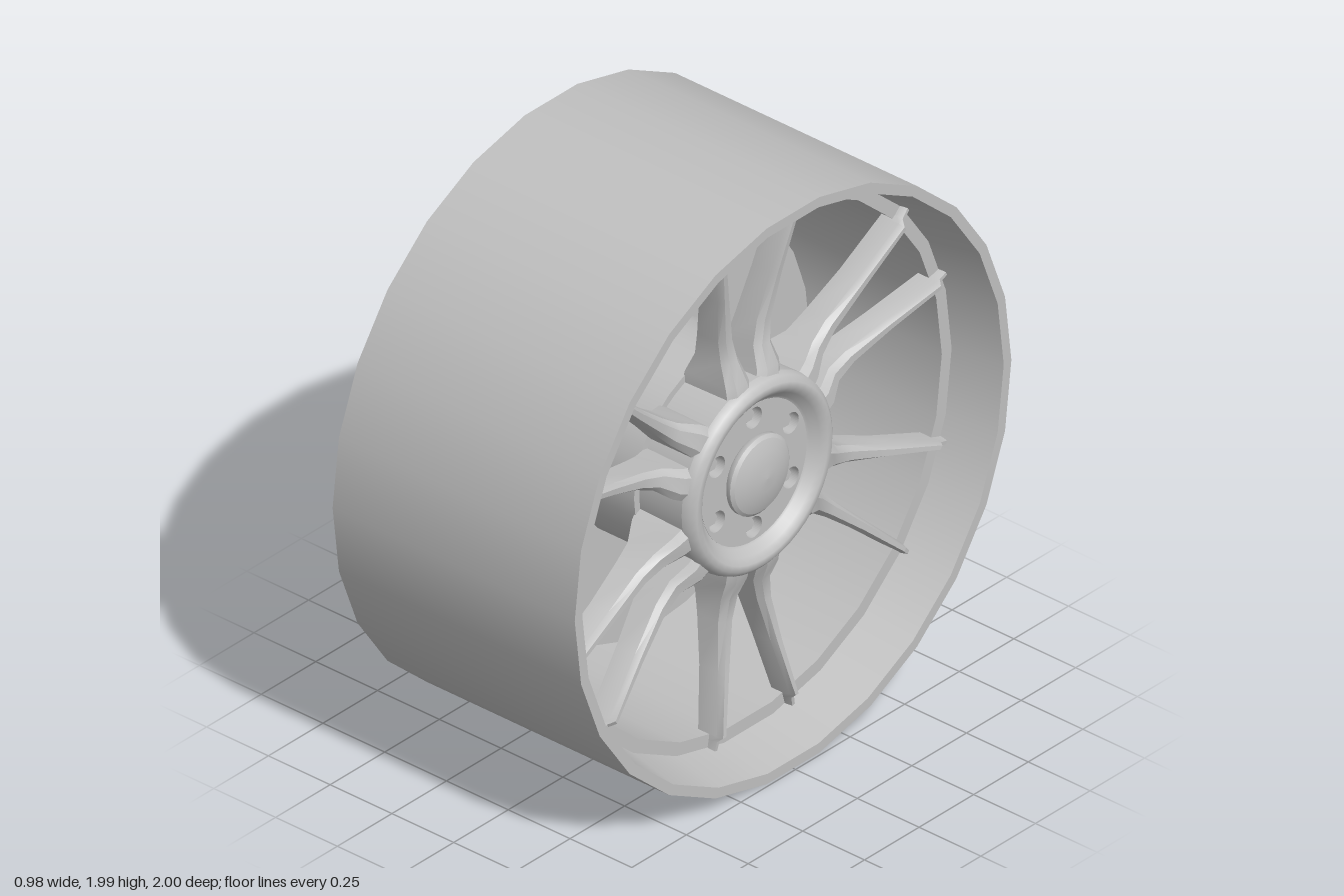
import * as THREE from 'three';
import { mergeGeometries, toCreasedNormals } from 'three/addons/utils/BufferGeometryUtils.js';

const metal = new THREE.MeshStandardMaterial({ color: 0xc0c0c0 });
metal.name = 'wheel grey';

// Revolve runs of [radius, x] about the x axis; edges between runs stay sharp.
function revolve(runs, segments) {
  const parts = runs.map(run =>
    new THREE.LatheGeometry(run.map(([r, x]) => new THREE.Vector2(r, x)), segments));
  return mergeGeometries(parts).rotateZ(-Math.PI / 2);
}

// Split a profile into one sharp run per straight piece.
const sharp = pts => pts.slice(1).map((p, i) => [pts[i], p]);

// Loft a spoke from stations: radius, sideways centre, half width, front x, back x.
function spokeGeometry(side) {
  const stations = [
    [0.28, 0.060, 0.060, 0.355, 0.14],
    [0.35, 0.072, 0.050, 0.345, 0.16],
    [0.42, 0.074, 0.036, 0.315, 0.19],
    [0.50, 0.089, 0.028, 0.310, 0.205],
    [0.66, 0.121, 0.020, 0.330, 0.235],
    [0.86, 0.166, 0.014, 0.360, 0.265],
    [0.88, 0.170, 0.013, 0.338, 0.270],
    [0.945, 0.186, 0.011, 0.332, 0.285],
  ];
  const pos = [], index = [], n = 6;
  stations.forEach(([r, c, w, xf, xb], k) => {
    const section = [[w, xb], [w, xf - 0.02], [w * 0.5, xf], [-w * 0.5, xf], [-w, xf - 0.02], [-w, xb]];
    section.forEach(([z, x]) => pos.push(x, r, side * c + z));
    if (k === 0) return;
    for (let i = 0; i < n; i++) {
      const a = (k - 1) * n + i, b = (k - 1) * n + (i + 1) % n;
      index.push(a, b, b + n, a, b + n, a + n);
    }
  });
  const top = (stations.length - 1) * n;
  for (let i = 1; i < n - 1; i++) index.push(top, top + i, top + i + 1);
  const g = new THREE.BufferGeometry();
  g.setAttribute('position', new THREE.Float32BufferAttribute(pos, 3));
  g.setIndex(index);
  return toCreasedNormals(g, 0.5);
}

export function createModel() {
  const wheel = new THREE.Group();
  wheel.name = 'wheel';
  wheel.position.y = 1;
  const add = (geometry, name, parent = wheel) => {
    const mesh = new THREE.Mesh(geometry, metal);
    mesh.name = name;
    parent.add(mesh);
    return mesh;
  };

  // Barrel with front lip and inner shoulder
  add(revolve(sharp([
    [0.885, -0.49], [1, -0.49], [1, 0.49], [0.965, 0.49],
    [0.93, 0.31], [0.885, 0.31], [0.885, -0.49],
  ]), 26), 'rim');

  // Disc behind the spokes, and the mount that joins it to the hub
  add(revolve(sharp([[0, -0.11], [0.72, -0.11], [0.72, -0.08], [0, -0.08]]), 28), 'backDisc');
  add(revolve(sharp([[0.355, -0.08], [0.355, 0.16], [0.3, 0.16]]), 32), 'hubMount');

  // Hub body with a rounded raised ring around a recess
  add(revolve([
    [[0, 0.14], [0.33, 0.14]],
    [[0.33, 0.14], [0.335, 0.335]],
    [[0.335, 0.335], [0.328, 0.36], [0.31, 0.375], [0.29, 0.375], [0.27, 0.36], [0.25, 0.335], [0.24, 0.33]],
    [[0.24, 0.33], [0.24, 0.29]],
    [[0.24, 0.29], [0, 0.29]],
  ], 48), 'hub');

  // Face plate with six bolt holes
  const plate = new THREE.Shape().absarc(0, 0, 0.242, 0, Math.PI * 2);
  const boltSpots = [];
  for (let i = 0; i < 6; i++) {
    const a = Math.PI / 2 + i * Math.PI / 3;
    boltSpots.push([Math.cos(a) * 0.195, Math.sin(a) * 0.195]);
  }
  for (const [u, v] of boltSpots) {
    plate.holes.push(new THREE.Path().absarc(u, v, 0.036, 0, Math.PI * 2, true));
  }
  const plateGeometry = new THREE.ExtrudeGeometry(plate, { depth: 0.04, bevelEnabled: false, curveSegments: 24 });
  add(plateGeometry.rotateY(Math.PI / 2), 'boltPlate').position.x = 0.292;

  // Recessed bolts
  for (const [u, v] of boltSpots) {
    const bolt = new THREE.CylinderGeometry(0.023, 0.023, 0.025, 6).rotateZ(-Math.PI / 2);
    add(bolt, 'bolt').position.set(0.3, v, -u);
  }

  // Domed centre cap
  add(revolve([
    [[0.125, 0.33], [0.136, 0.34], [0.136, 0.355]],
    [[0.136, 0.355], [0.125, 0.364]],
    [[0.125, 0.364], [0.09, 0.377], [0.045, 0.385], [0, 0.388]],
  ], 32), 'centreCap');

  // Six pairs of spokes
  const geometries = [spokeGeometry(1), spokeGeometry(-1)];
  for (let i = 0; i < 6; i++) {
    const pair = new THREE.Group();
    pair.name = 'spokePair';
    pair.rotation.x = i * Math.PI / 3;
    geometries.forEach(g => add(g, 'spoke', pair));
    wheel.add(pair);
  }

  const model = new THREE.Group();
  model.add(wheel);
  return model;
}
